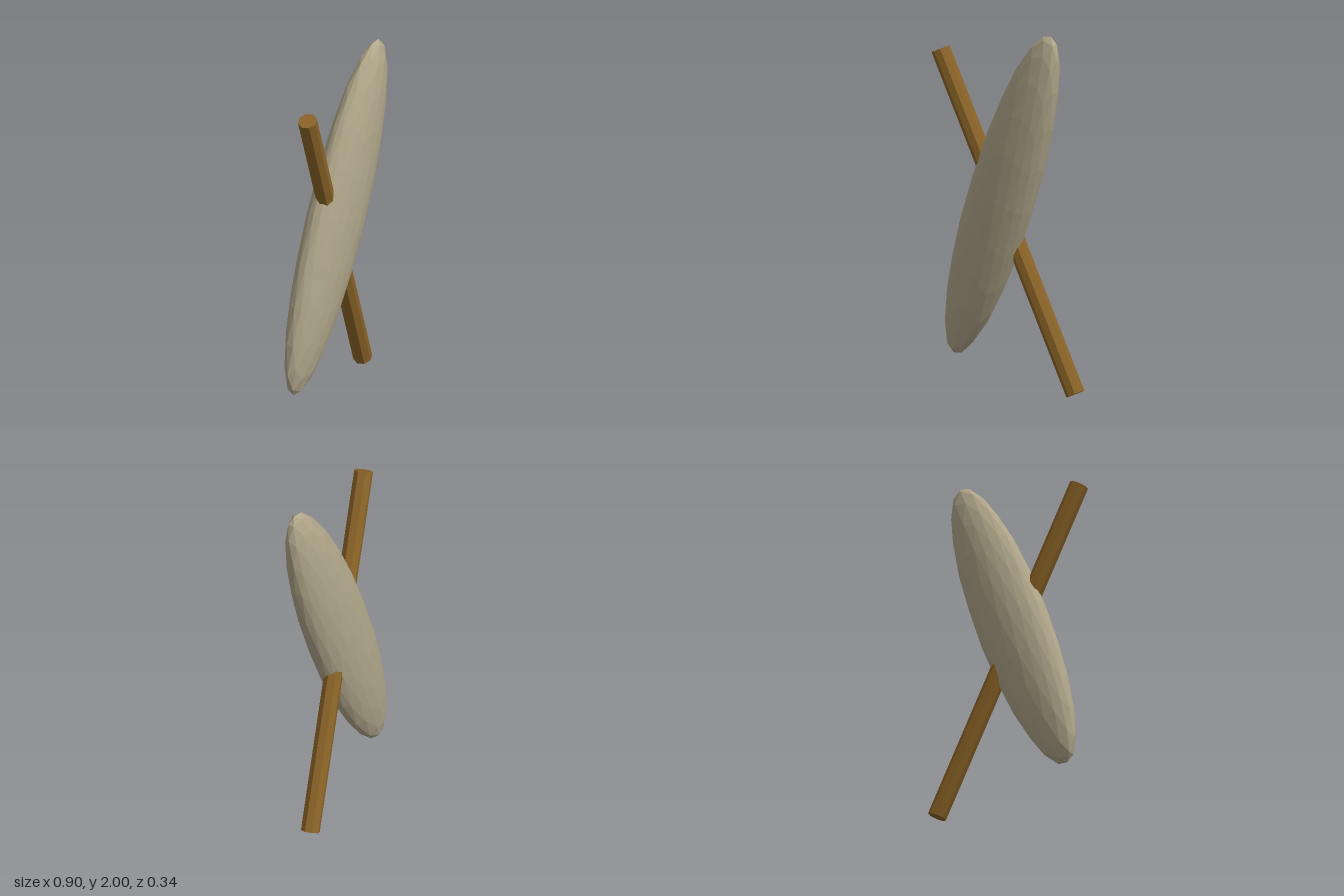
import * as THREE from 'three';

export function createModel() {
  const model = new THREE.Group();
  const wood = new THREE.MeshStandardMaterial({ color: 0x8b6428, flatShading: true });
  const stone = new THREE.MeshStandardMaterial({ color: 0xb0a68a, flatShading: true });

  // Slanted octagonal handle running through the stone
  const top = new THREE.Vector3(-0.402, 1.833, 0.118);
  const bottom = new THREE.Vector3(0.402, 0.022, -0.118);
  const axis = top.clone().sub(bottom);
  const handle = new THREE.Mesh(new THREE.CylinderGeometry(0.052, 0.052, axis.length(), 8), wood);
  handle.name = 'handle';
  handle.position.copy(top).add(bottom).multiplyScalar(0.5);
  handle.quaternion.setFromUnitVectors(new THREE.Vector3(0, 1, 0), axis.normalize());
  model.add(handle);

  // Long flattened stone: a faceted ball with one corner turned to its tip, then stretched
  const ball = new THREE.IcosahedronGeometry(1, 3);
  ball.rotateZ(Math.atan(2 / (1 + Math.sqrt(5))));
  ball.scale(0.22, 0.997, 0.122);
  const blade = new THREE.Mesh(ball, stone);
  blade.name = 'stoneBlade';
  blade.position.set(-0.021, 1.075, 0.022);
  blade.rotation.z = THREE.MathUtils.degToRad(-22.4);
  model.add(blade);

  return model;
}
